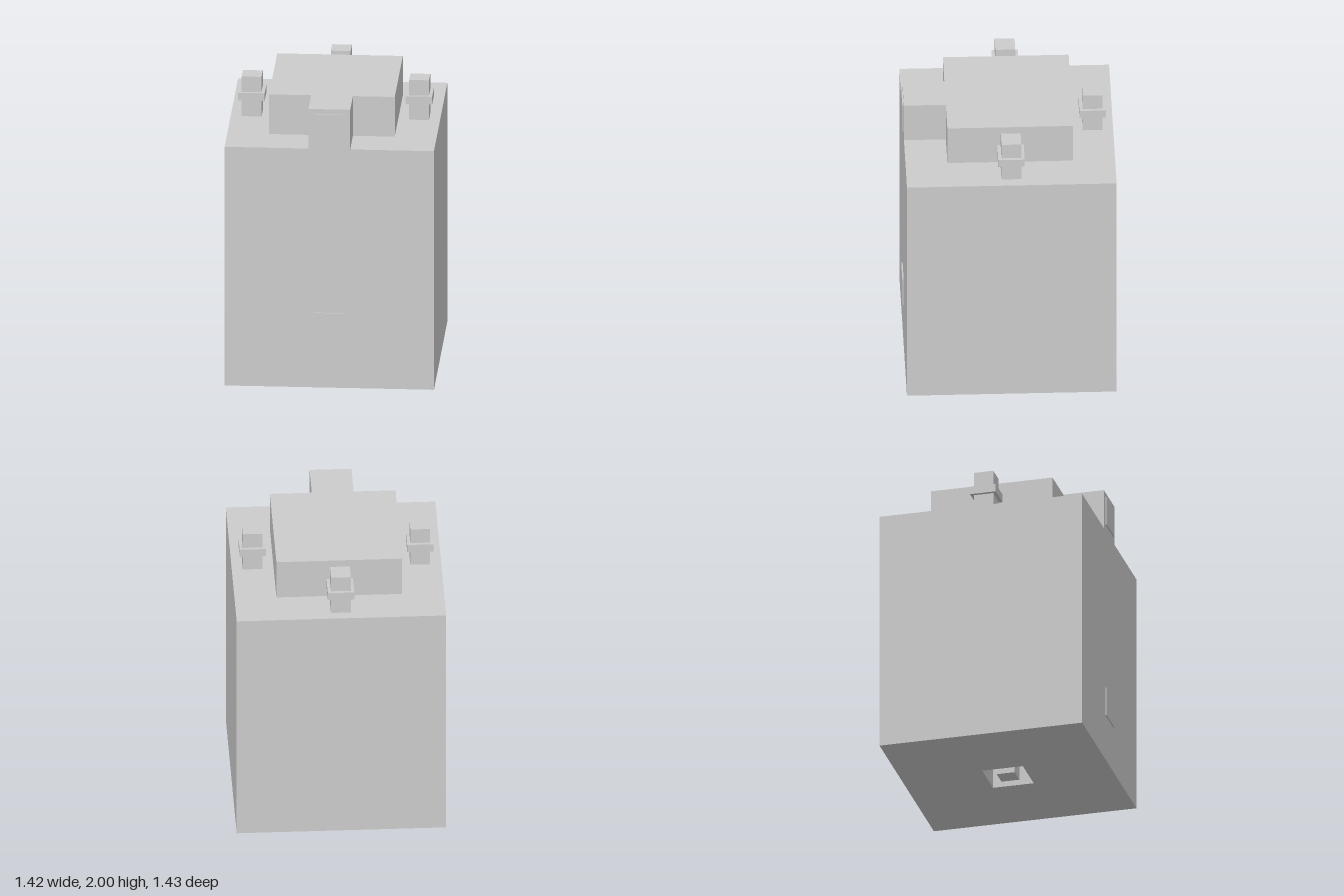
import * as THREE from 'three';

const material = new THREE.MeshStandardMaterial({ color: 0xcccccc, flatShading: true });
const CZ = -0.005;      // centre of the block in z
const HALF = 0.7125;    // half width of the block
const TOP = 1.715;      // top of the block
const SOCKET = 0.1425;  // half width of the socket
const DEPTH = 0.285;    // depth of the socket, height of the parts on top

function mesh(name, geometry, x = 0, y = 0, z = 0) {
  const m = new THREE.Mesh(geometry, material);
  m.name = name;
  m.position.set(x, y, z);
  return m;
}

// box given by its size and the centre of its underside
function box(name, w, h, d, x, y, z) {
  return mesh(name, new THREE.BoxGeometry(w, h, d), x, y + h / 2, z);
}

// flat outline (x, -z) raised upwards by h
function slab(name, shape, h, y) {
  const g = new THREE.ExtrudeGeometry(shape, { depth: h, bevelEnabled: false });
  return mesh(name, g.rotateX(-Math.PI / 2), 0, y, CZ);
}

function outline(points, Type = THREE.Shape) {
  return new Type(points.map(([x, y]) => new THREE.Vector2(x, y)));
}

const square = (s) => [[-s, -s], [s, -s], [s, s], [-s, s]];

// square post with a collar
function post(name, x, z) {
  const g = new THREE.Group();
  g.name = name;
  g.add(
    box('postShaft', 0.135, DEPTH, 0.135, 0, 0, 0),
    box('postCollar', 0.18, 0.057, 0.18, 0, 0.118, 0)
  );
  g.position.set(x, TOP, z);
  return g;
}

export function createModel() {
  const model = new THREE.Group();
  model.name = 'block';

  // block: solid upper part above a base with a square socket
  const base = outline(square(HALF));
  base.holes.push(outline(square(SOCKET).reverse(), THREE.Path));
  model.add(
    slab('bodyBase', base, DEPTH, 0),
    box('body', 2 * HALF, TOP - DEPTH, 2 * HALF, 0, DEPTH, CZ),
    box('socketPin', 0.125, DEPTH, 0.125, 0, 0, CZ)
  );

  // raised top with an arm reaching the front face
  const s = 0.4275, n = 0.1425;
  const top = outline([
    [-s, -s], [-n, -s], [-n, -HALF], [n, -HALF], [n, -s], [s, -s], [s, s], [-s, s]
  ]);
  model.add(slab('raisedTop', top, DEPTH, TOP));

  // posts on the left, right and back
  model.add(
    post('leftPost', 0.57, CZ),
    post('rightPost', -0.57, CZ),
    post('backPost', 0, CZ - 0.573)
  );

  // thin plates on the front
  for (const [name, y] of [['upperPlate', 1.759], ['lowerPlate', 0.33]]) {
    model.add(box(name, 0.207, 0.207, 0.02, 0, y, 0.707));
  }
  return model;
}
